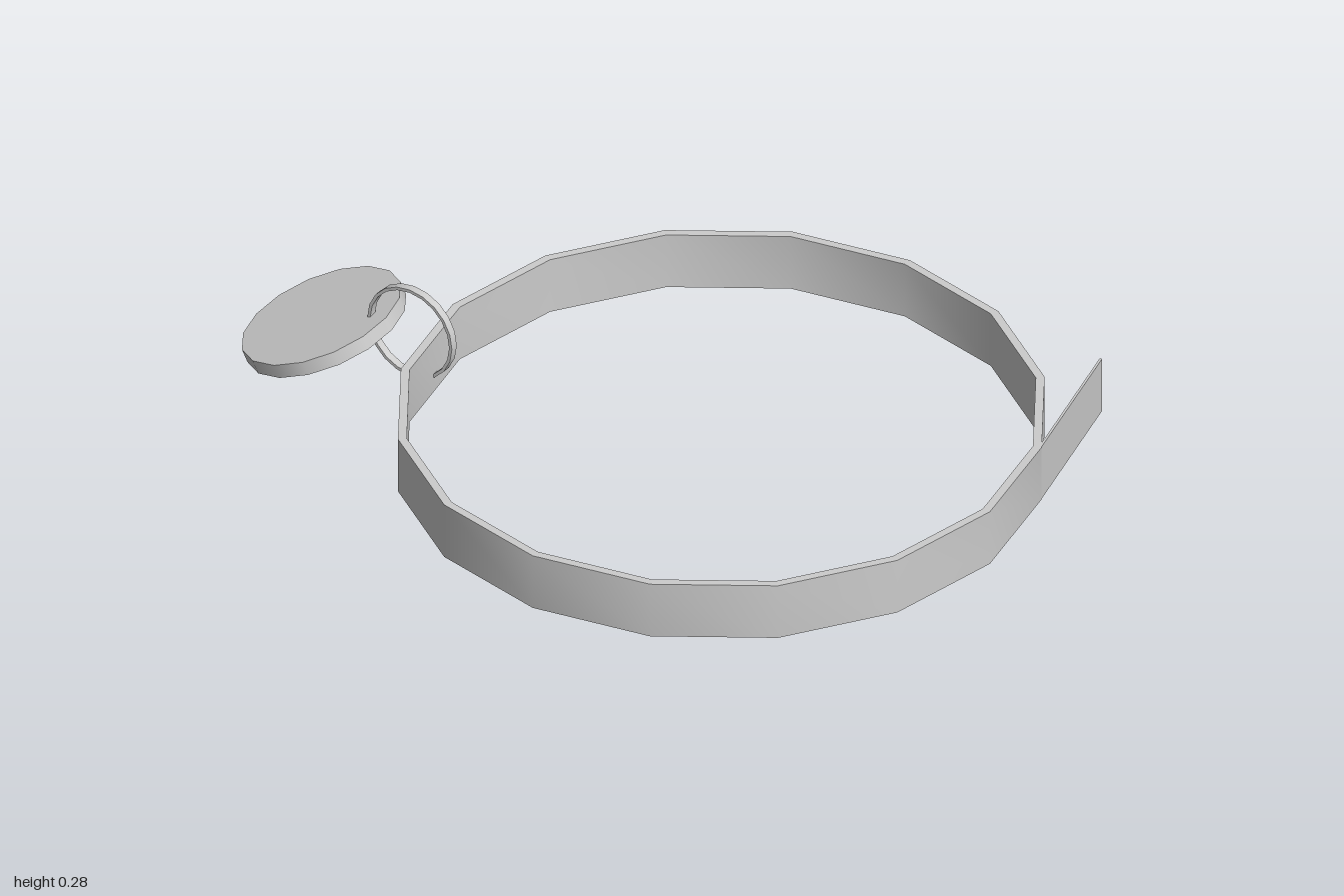
import * as THREE from 'three';
import { toCreasedNormals } from 'three/addons/utils/BufferGeometryUtils.js';

const grey = new THREE.MeshStandardMaterial({ color: 0xcccccc });

function add(group, name, geometry) {
  const mesh = new THREE.Mesh(geometry, grey);
  mesh.name = name;
  group.add(mesh);
  return mesh;
}

// Flat hoop around the y axis with a rectangular section
function hoop(outer, inner, height, sides) {
  const h = height / 2;
  const section = [[outer, -h], [outer, h], [inner, h], [inner, -h], [outer, -h]]
    .map(([r, y]) => new THREE.Vector2(r, y));
  return toCreasedNormals(new THREE.LatheGeometry(section, sides), 0.6);
}

export function createModel() {
  const group = new THREE.Group();
  const bandY = 0.094, bandHeight = 0.146, bandZ = 0.231, bandRadius = 0.769;

  // Sixteen-sided collar band
  add(group, 'collarBand', hoop(bandRadius, 0.748, bandHeight, 16)).position.set(0, bandY, bandZ);

  // Loose strap end leaving the band at a front corner
  const corner = Math.PI / 8;
  const start = new THREE.Vector2(Math.sin(corner) * bandRadius, bandZ + Math.cos(corner) * bandRadius - 0.004);
  const end = new THREE.Vector2(0.683, 0.838);
  const along = end.clone().sub(start);
  const strap = add(group, 'strapEnd', new THREE.BoxGeometry(along.length(), bandHeight, 0.006));
  strap.position.set((start.x + end.x) / 2, bandY, (start.y + end.y) / 2);
  strap.rotation.y = -along.angle();

  // Upright ring through the back of the band
  const ring = add(group, 'tagRing', hoop(0.121, 0.113, 0.02, 20));
  ring.position.set(-0.141, 0.161, -0.555);
  ring.rotation.z = Math.PI / 2;

  // Round tag hanging back and tipped sideways
  const tag = add(group, 'tag', new THREE.CylinderGeometry(0.202, 0.202, 0.036, 16));
  tag.position.set(-0.144, 0.094, -0.805);
  tag.quaternion.setFromUnitVectors(
    new THREE.Vector3(0, 1, 0),
    new THREE.Vector3(-0.16, 1, -0.37).normalize()
  );

  return group;
}
